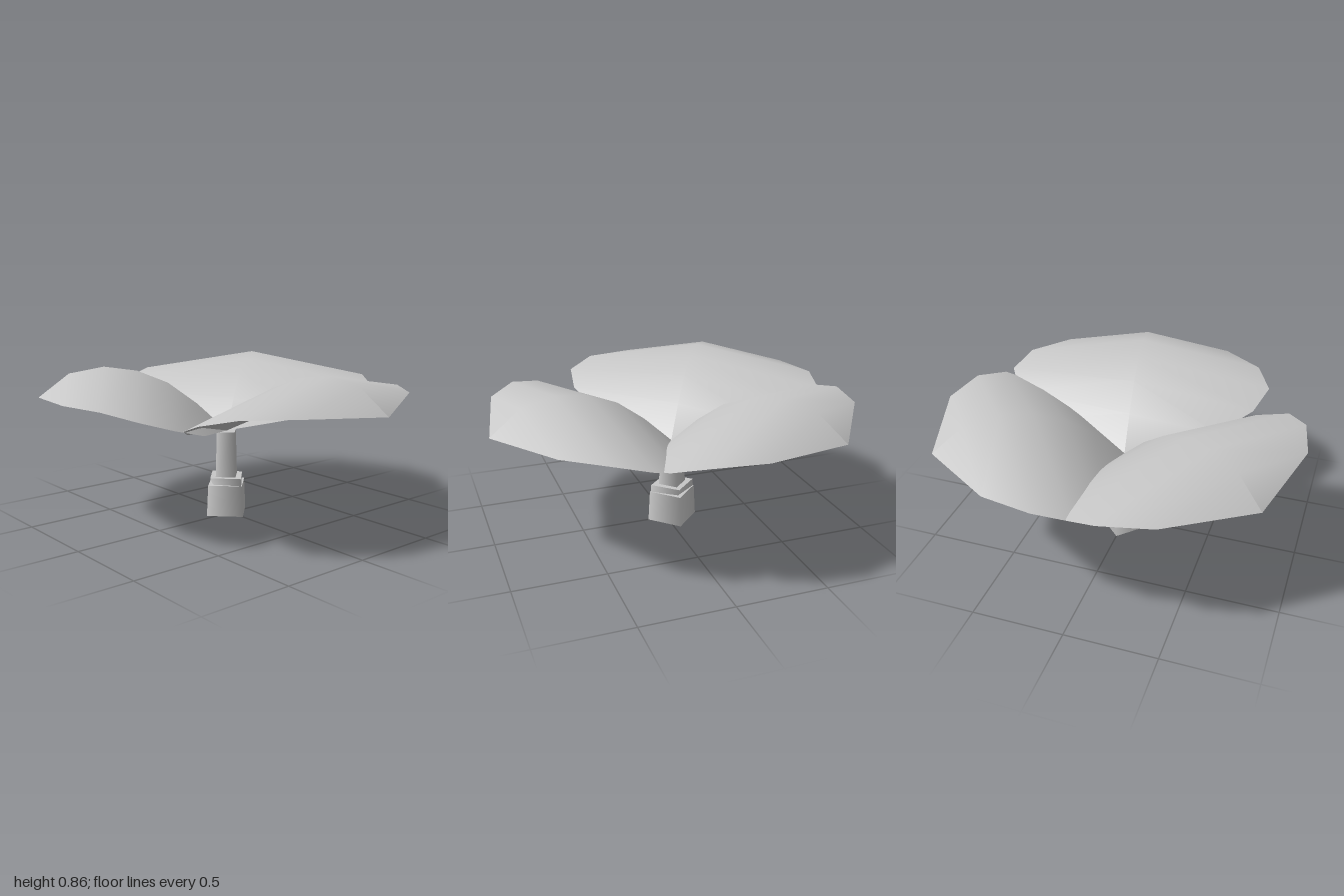
import * as THREE from 'three';

const grey = new THREE.MeshStandardMaterial({ color: 0xc8c8c8, side: THREE.DoubleSide });
grey.name = 'light grey';

const CENTRE_X = -0.035;

// Petal stations: distance outward, half width, edge height, ridge height
const STATIONS = [
  [0, 0, 0.48, 0.48],
  [0.17, 0.5, 0.56, 0.64],
  [0.33, 0.69, 0.63, 0.76],
  [0.5, 0.77, 0.69, 0.83],
  [0.68, 0.7, 0.73, 0.855],
  [0.87, 0.5, 0.73, 0.82],
  [1.04, 0, 0.69, 0.69],
];

// Arched petal: three columns (edge, ridge, edge), pointed at both ends
function petalGeometry() {
  const positions = [], index = [];
  STATIONS.forEach(([u, w, edge, ridge], i) => {
    positions.push(u, edge, -w, u, ridge, 0, u, edge, w);
    if (i === 0) return;
    for (let c = 0; c < 2; c++) {
      const a = (i - 1) * 3 + c, b = a + 3;
      if (i > 1) index.push(a, a + 1, b);
      if (i < STATIONS.length - 1) index.push(a + 1, b + 1, b);
      // the first row fans out from the base point
      if (i === STATIONS.length - 1) continue;
    }
  });
  const g = new THREE.BufferGeometry();
  g.setAttribute('position', new THREE.Float32BufferAttribute(positions, 3));
  g.setIndex(index);
  g.computeVertexNormals();
  return g;
}

// Four-sided tapered column with smooth sides and corners on the axes
function column(name, bottomRadius, topRadius, y0, y1) {
  const g = new THREE.CylinderGeometry(topRadius, bottomRadius, y1 - y0, 4);
  const mesh = new THREE.Mesh(g, grey);
  mesh.name = name;
  mesh.position.set(CENTRE_X, (y0 + y1) / 2, 0);
  return mesh;
}

export function createModel() {
  const group = new THREE.Group();
  group.name = 'threePetalFlower';

  // Petals, unevenly spread around the stem
  const petal = petalGeometry();
  const angles = { leftPetal: -8.8, backPetal: -126.6, frontPetal: 123.4 };
  for (const [name, degrees] of Object.entries(angles)) {
    const mesh = new THREE.Mesh(petal, grey);
    mesh.name = name;
    mesh.position.x = -0.03;
    mesh.rotation.y = -THREE.MathUtils.degToRad(degrees);
    group.add(mesh);
  }

  // Stem, foot and the flared collar between them
  group.add(column('stem', 0.08, 0.071, 0.2, 0.478));
  group.add(column('foot', 0.145, 0.135, 0, 0.177));
  const collar = column('collar', 0.13, 0.127, 0.177, 0.218);
  const p = collar.geometry.attributes.position;
  for (let i = 0; i < p.count; i++) {
    p.setZ(i, p.getZ(i) * (p.getY(i) < 0 ? 0.77 : 0.94));
  }
  group.add(collar);

  return group;
}
